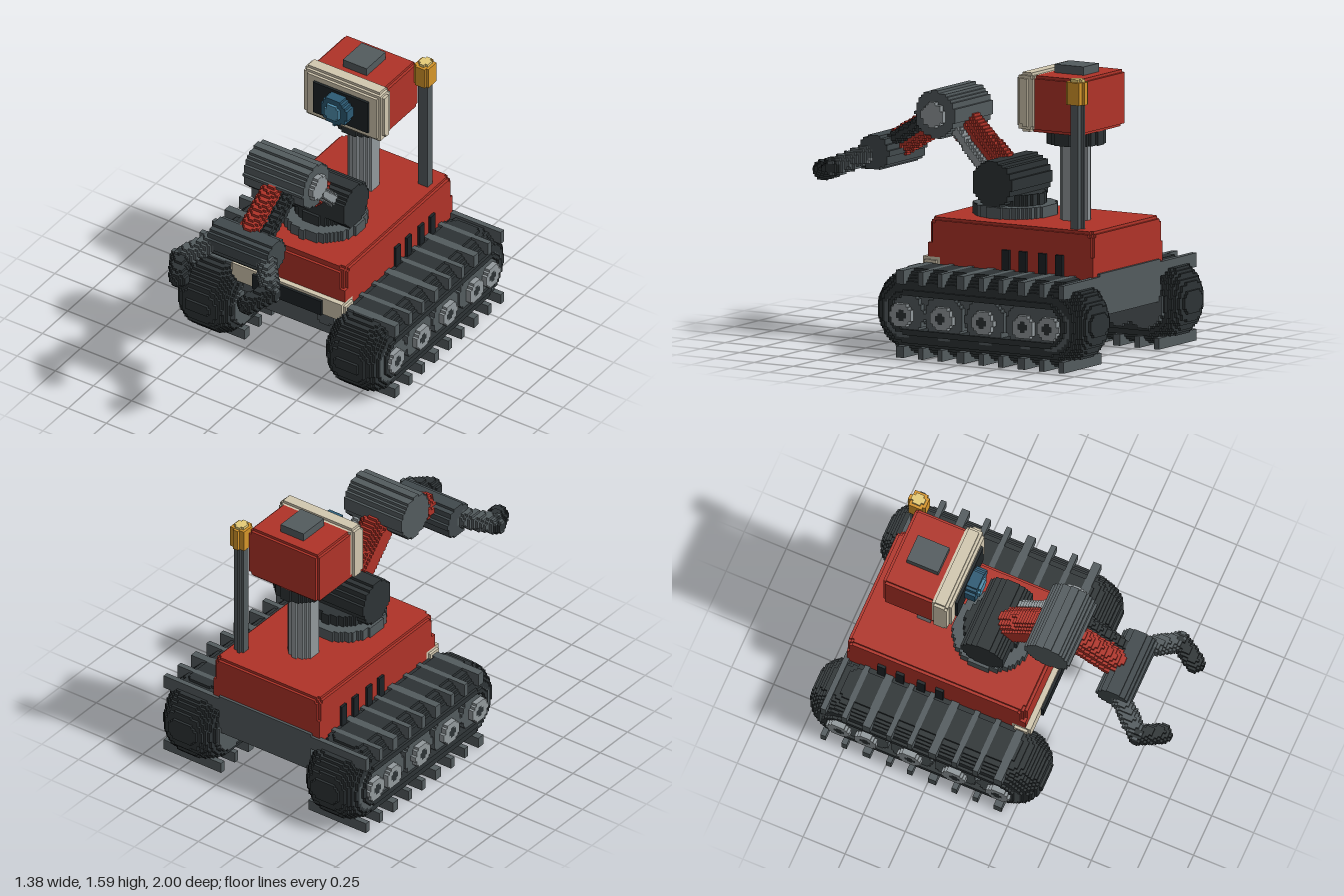
import * as THREE from 'three';

// The robot is voxel art: every part is a simple solid sampled on one shared grid.
const S = 1 / 64, NX = 96, NY = 106, NZ = 132;
const N = [NX, NY, NZ], ORIGIN = [-NX / 2, -1, -NZ / 2];
const STEP = [1, NX, NX * NY];

const RED = 0xb03328, CREAM = 0xd2c8b0, GREY = 0x535b5e, DARK = 0x2d3335, LIGHT = 0x92999c;
const BLACK = 0x1d2326, AMBER = 0xd6962a, PALE = 0xe6cc78, BLUE = 0x2c5a74, SKY = 0x4f8fae, STEEL = 0x41494c;

// Solids: functions that tell whether a point is inside
const box = (x0, x1, y0, y1, z0, z1, r = 0) => (x, y, z) => {
  const ax = Math.abs(x - (x0 + x1) / 2) - (x1 - x0) / 2 + r;
  const ay = Math.abs(y - (y0 + y1) / 2) - (y1 - y0) / 2 + r;
  const az = Math.abs(z - (z0 + z1) / 2) - (z1 - z0) / 2 + r;
  if (r === 0) return ax <= 0 && ay <= 0 && az <= 0;
  return Math.hypot(Math.max(ax, 0), Math.max(ay, 0), Math.max(az, 0)) <= r;
};
const cylX = (y0, z0, r, x0, x1) => (x, y, z) => x >= x0 && x <= x1 && Math.hypot(y - y0, z - z0) <= r;
const cylY = (x0, z0, r, y0, y1) => (x, y, z) => y >= y0 && y <= y1 && Math.hypot(x - x0, z - z0) <= r;
const cylZ = (x0, y0, r, z0, z1) => (x, y, z) => z >= z0 && z <= z1 && Math.hypot(x - x0, y - y0) <= r;
const rod = (a, b, r) => {
  const d = b.map((v, i) => v - a[i]);
  const len2 = d[0] * d[0] + d[1] * d[1] + d[2] * d[2];
  return (x, y, z) => {
    const px = x - a[0], py = y - a[1], pz = z - a[2];
    const t = Math.min(1, Math.max(0, (px * d[0] + py * d[1] + pz * d[2]) / len2));
    return Math.hypot(px - t * d[0], py - t * d[1], pz - t * d[2]) <= r;
  };
};
const mirror = (shape, s) => (x, y, z) => shape(x * s, y, z);

// Hollow, round-shouldered belt running around a stadium path
const belt = (x, y, z) => {
  const d = Math.hypot(y - 0.25, Math.max(z - 0.135, -0.765 - z, 0));
  const r = 0.13;
  const qx = Math.max(Math.abs(x - 0.487) - 0.178 + r, 0), qd = Math.max(d - 0.235 + r, 0);
  return d >= 0.095 && Math.hypot(qx, qd) <= r;
};

export function createModel() {
  const grid = new Uint8Array(NX * NY * NZ);
  const parts = [];

  // Later parts overwrite earlier ones where they overlap
  function part(name, color, ...shapes) {
    parts.push({ name, color });
    const id = parts.length;
    for (let k = 1, z; k < NZ - 1; k++) {
      z = (k + 0.5 + ORIGIN[2]) * S;
      for (let j = 1; j < NY - 1; j++) {
        const y = (j + 0.5 + ORIGIN[1]) * S;
        for (let i = 1; i < NX - 1; i++) {
          const x = (i + 0.5 + ORIGIN[0]) * S;
          for (const inside of shapes) if (inside(x, y, z)) { grid[i + j * STEP[1] + k * STEP[2]] = id; break; }
        }
      }
    }
  }

  // Chassis, hull and bumper
  part('chassis', GREY, box(-0.32, 0.32, 0.27, 0.5, -0.89, 0.18));
  part('chassisFloor', DARK, box(-0.27, 0.27, 0.27, 0.285, -0.86, 0.15));
  part('bumperBrackets', GREY, ...[1, -1].map(s => mirror(box(0.17, 0.31, 0.32, 0.46, 0.1, 0.21, 0.05), s)));
  part('hull', RED, box(-0.358, 0.358, 0.46, 0.735, -0.875, 0.183, 0.045), box(-0.358, 0.358, 0.46, 0.6, -0.875, 0.183));
  part('bumper', CREAM, box(-0.37, 0.37, 0.4, 0.517, 0.11, 0.22, 0.02));
  part('bumperPanel', BLACK, box(-0.225, 0.23, 0.41, 0.495, 0.15, 0.235));
  const slats = [-0.325, -0.435, -0.55, -0.665].map(z => box(0.34, 0.373, 0.46, 0.59, z - 0.022, z + 0.022));
  part('sideVents', BLACK, ...slats, ...slats.map(v => mirror(v, -1)));

  // Tracks with wheels and cleats
  const wheelZ = [0.16, -0.1, -0.365, -0.625, -0.785];
  for (const [side, s] of [['left', 1], ['right', -1]]) {
    const add = (name, color, shapes) => part(side + name, color, ...shapes.map(f => mirror(f, s)));
    add('Belt', DARK, [belt]);
    add('WheelFrame', GREY, [box(0.3, 0.62, 0.18, 0.34, -0.78, 0.15)]);
    add('Wheels', GREY, wheelZ.map(z => cylX(0.237, z, 0.125, 0.3, 0.66)));
    add('Hubs', LIGHT, wheelZ.map(z => cylX(0.233, z, 0.068, 0.6, 0.69)));
    add('HubCaps', DARK, wheelZ.flatMap(z => [
      box(0.6, 0.69, 0.2, 0.267, z - 0.016, z + 0.016), box(0.6, 0.69, 0.217, 0.25, z - 0.032, z + 0.032)]));
    const cleats = [];
    for (let i = 0; i < 9; i++) {
      const z = 0.163 - i * 0.13;
      cleats.push(box(0.295, 0.687, 0.41, 0.49, z - 0.02, z + 0.02), box(0.295, 0.687, 0, 0.07, z - 0.02, z + 0.02));
    }
    add('Cleats', GREY, cleats);
  }

  // Turntable and arm
  const shoulder = [0.005, 0.92, -0.135], elbow = [0.005, 1.273, 0.24], wrist = [0.005, 1.04, 0.63];
  part('turntable', GREY, cylY(0.005, -0.155, 0.226, 0.73, 0.8));
  part('turntableTop', DARK, cylY(0.005, -0.16, 0.162, 0.8, 0.863));
  part('lowerArm', RED, rod(shoulder, elbow, 0.09));
  part('shoulder', DARK, cylX(0.92, -0.135, 0.127, -0.21, 0.225));
  part('upperArm', RED, rod(elbow, wrist, 0.077));
  part('lowerPiston', LIGHT, rod([0.125, 0.95, -0.07], [0.125, 1.24, 0.2], 0.032));
  part('upperPiston', DARK, rod([0.1, 1.26, 0.3], [0.1, 1.09, 0.58], 0.036));
  part('elbow', GREY, cylX(1.273, 0.24, 0.128, -0.19, 0.2));
  part('elbowCaps', LIGHT, cylX(1.273, 0.24, 0.068, 0.19, 0.235));

  // Gripper
  part('palm', STEEL, cylX(1.03, 0.635, 0.097, -0.195, 0.21));
  part('palmPin', LIGHT, cylX(1.01, 0.685, 0.045, 0.19, 0.222));
  for (const [side, s] of [['left', 1], ['right', -1]]) {
    const a = [s * 0.17, 1.02, 0.68], b = [s * 0.295, 0.945, 0.83], c = [s * 0.225, 0.912, 0.945];
    part(side + 'Finger', GREY, rod(a, b, 0.053));
    part(side + 'FingerTip', DARK, rod(b, c, 0.052));
  }

  // Mast and camera head
  part('mast', LIGHT, cylY(0, -0.54, 0.08, 0.73, 1.17));
  part('mastCollar', DARK, cylY(0, -0.545, 0.155, 1.16, 1.25));
  part('head', RED, box(-0.235, 0.24, 1.24, 1.545, -0.72, -0.38, 0.035));
  part('headBezel', CREAM, box(-0.25, 0.258, 1.24, 1.56, -0.42, -0.32, 0.035));
  part('headScreen', BLACK, box(-0.17, 0.18, 1.3, 1.5, -0.36, -0.293));
  part('lens', BLUE, cylZ(0.005, 1.405, 0.085, -0.32, -0.235));
  part('lensGlass', SKY, cylZ(0.005, 1.405, 0.05, -0.3, -0.218));
  part('headCap', GREY, box(-0.078, 0.083, 1.53, 1.595, -0.645, -0.455));

  // Beacon pole
  part('beaconPole', GREY, cylY(0.28, -0.727, 0.032, 0.73, 1.43));
  part('beacon', AMBER, cylY(0.28, -0.725, 0.052, 1.42, 1.547));
  part('beaconTop', PALE, cylY(0.28, -0.725, 0.036, 1.54, 1.562));

  // Exposed voxel faces, merged into strips along one axis
  const verts = parts.map(() => []);
  for (let a = 0; a < 3; a++) {
    const u = (a + 1) % 3, v = (a + 2) % 3;
    for (const dir of [1, -1]) {
      for (let ia = 1; ia < N[a] - 1; ia++) for (let iv = 1; iv < N[v] - 1; iv++) {
        let start = 0, current = 0;
        for (let iu = 1; iu < N[u]; iu++) {
          const at = ia * STEP[a] + iu * STEP[u] + iv * STEP[v];
          const id = iu < N[u] - 1 && !grid[at + dir * STEP[a]] ? grid[at] : 0;
          if (id === current) continue;
          if (current) {
            const corner = (cu, cv) => {
              const p = [];
              p[a] = ia + (dir > 0 ? 1 : 0); p[u] = cu; p[v] = cv;
              return p.map((n, i) => (n + ORIGIN[i]) * S);
            };
            const q = [corner(start, iv), corner(iu, iv), corner(iu, iv + 1), corner(start, iv + 1)];
            if (dir < 0) q.reverse();
            for (const n of [0, 1, 2, 0, 2, 3]) verts[current - 1].push(...q[n]);
          }
          start = iu;
          current = id;
        }
      }
    }
  }

  const model = new THREE.Group();
  model.name = 'trackedRobot';
  parts.forEach(({ name, color }, i) => {
    if (!verts[i].length) return;
    const geometry = new THREE.BufferGeometry();
    geometry.setAttribute('position', new THREE.Float32BufferAttribute(verts[i], 3));
    geometry.computeVertexNormals();
    const mesh = new THREE.Mesh(geometry, new THREE.MeshStandardMaterial({ color }));
    mesh.name = name;
    model.add(mesh);
  });
  return model;
}
